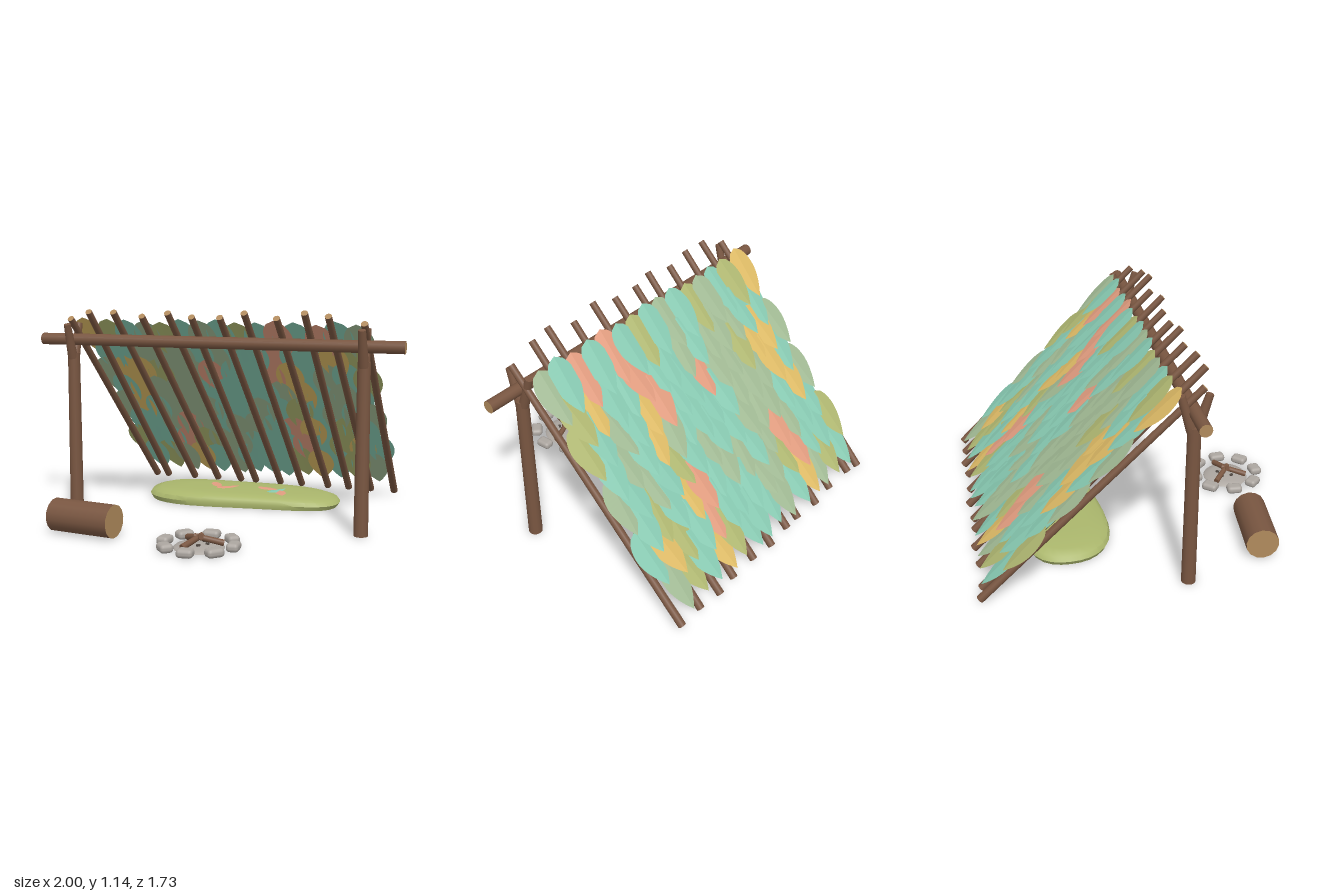
import * as THREE from 'three';
import { mergeVertices, toCreasedNormals } from 'three/addons/utils/BufferGeometryUtils.js';
import { RoundedBoxGeometry } from 'three/addons/geometries/RoundedBoxGeometry.js';

const V = (x, y, z) => new THREE.Vector3(x, y, z);

function paint(name, color, side = THREE.FrontSide) {
  const m = new THREE.MeshStandardMaterial({ color, side });
  m.name = name;
  return m;
}

export function createModel() {
  const model = new THREE.Group();
  model.name = 'leanToShelter';
  const bark = paint('bark', 0x795641);
  const cutWood = paint('cutWood', 0xb08a5c);
  const stone = paint('stone', 0xaca6a0);
  const charcoal = paint('charcoal', 0x544c46);
  const moss = paint('moss', 0xaab66c);
  const leafPaint = {
    t: paint('tealLeaf', 0x88cab2, THREE.DoubleSide),
    s: paint('sageLeaf', 0xa2bb95, THREE.DoubleSide),
    o: paint('oliveLeaf', 0xb0b872, THREE.DoubleSide),
    y: paint('yellowLeaf', 0xdebb66, THREE.DoubleSide),
    c: paint('coralLeaf', 0xe29d80, THREE.DoubleSide),
  };

  let seed = 7;
  const rand = (a) => {
    seed = (seed * 16807) % 2147483647;
    return (seed / 2147483647 * 2 - 1) * a;
  };

  function add(name, geometry, material, parent = model) {
    const mesh = new THREE.Mesh(geometry, material);
    mesh.name = name;
    parent.add(mesh);
    return mesh;
  }

  // Round timber from point a to point b, with its own colours on the two ends
  function timber(name, a, b, ra, rb, endA = bark, endB = bark, parent = model) {
    const dir = b.clone().sub(a);
    const mesh = add(name, new THREE.CylinderGeometry(rb, ra, dir.length(), 14), [bark, endB, endA], parent);
    mesh.position.copy(a).add(b).multiplyScalar(0.5);
    mesh.quaternion.setFromUnitVectors(V(0, 1, 0), dir.normalize());
  }

  // Forked posts and ridge beam
  for (const x of [-0.815, 0.797]) {
    const post = new THREE.Group();
    post.name = 'forkedPost';
    model.add(post);
    timber('postTrunk', V(x, 0, 0.18), V(x, 0.885, 0.18), 0.037, 0.033, bark, bark, post);
    for (const s of [-1, 1]) {
      timber('forkProng', V(x, 0.86, 0.18 + s * 0.012), V(x, 1.045, 0.18 + s * 0.068), 0.027, 0.019, bark, bark, post);
    }
  }
  timber('ridgeBeam', V(-1, 0.96, 0.18), V(1, 0.96, 0.18), 0.032, 0.032, cutWood, cutWood);

  // Sloping roof poles: foot x, top x, top height
  const poles = [
    [-0.775, -0.805, 1.075], [-0.69, -0.675, 1.115], [-0.505, -0.53, 1.115], [-0.35, -0.375, 1.095],
    [-0.19, -0.22, 1.115], [-0.09, -0.095, 1.095], [0.068, 0.06, 1.095], [0.21, 0.2, 1.12],
    [0.378, 0.363, 1.095], [0.505, 0.515, 1.125], [0.645, 0.632, 1.11], [0.787, 0.804, 1.075],
  ];
  poles.forEach(([x0, x1, top], i) => {
    const foot = i % 3 === 0 ? -0.855 : -0.842;
    timber('roofPole', V(x0, 0.015 + (foot + 0.855) * 0.2, foot), V(x1, top, 0.272 - (1.12 - top) * 1.02),
      0.021, 0.018, bark, cutWood);
  });

  // Leaf: rounded head, pointed tip, folded along the midrib
  function makeLeaf(width, length) {
    const g = new THREE.PlaneGeometry(1, 1, 2, 14);
    const p = g.attributes.position;
    for (let i = 0; i < p.count; i++) {
      const t = 0.5 - p.getY(i);
      const head = Math.sqrt(Math.max(0, 1 - Math.pow(1 - Math.min(t / 0.4, 1), 2)));
      const tail = t > 0.4 ? 1 - Math.pow((t - 0.4) / 0.6, 1.8) : 1;
      const side = p.getX(i) * head * tail;
      p.setXYZ(i, side * width, (0.5 - t) * length, -Math.abs(side) * width * 0.1);
    }
    return toCreasedNormals(g, 0.1);
  }

  // Leaf thatch: rows from the ridge down, upper rows lying over lower ones
  const rows = [
    'yotsotstotctcts', 'ttssststtcttyo', 'syyosscttcytsto', 'tysssttttsytst',
    'sytsssttstotsts', 'ttscstsstcytots'.replace(' ', '').slice(0, 14), 'ottcosstttctoyt', 'tosytstttoytos',
  ];
  const thatch = new THREE.Group();
  thatch.name = 'leafThatch';
  model.add(thatch);
  const slope = V(0, 1.07, 1).normalize();
  const outward = V(0, slope.z, -slope.y);
  const leafGeo = makeLeaf(0.158, 0.31);
  const frame = new THREE.Quaternion().setFromRotationMatrix(
    new THREE.Matrix4().makeBasis(V(-1, 0, 0), slope, outward));
  rows.forEach((row, r) => {
    [...row].forEach((key, c) => {
      const leaf = add('roofLeaf', leafGeo, leafPaint[key], thatch);
      leaf.position.set((c - (row.length - 1) / 2) * 0.108 - 0.014 + rand(0.01), 1.07, 0.112)
        .addScaledVector(slope, -0.155 - r * 0.153 + rand(0.014))
        .addScaledVector(outward, 0.003 + (c % 2) * 0.003);
      leaf.quaternion.copy(frame).multiply(
        new THREE.Quaternion().setFromEuler(new THREE.Euler(-0.035, rand(0.05), rand(0.12))));
    });
  });

  // Moss bed: lathed cushion pulled into a long, waisted outline
  const profile = [[0, 0], [0.97, 0], [1, 0.026], [0.97, 0.048], [0.88, 0.062], [0.6, 0.069], [0, 0.071]];
  let bedGeo = new THREE.LatheGeometry(profile.map(([x, y]) => new THREE.Vector2(x, y)), 40);
  const bp = bedGeo.attributes.position;
  for (let i = 0; i < bp.count; i++) {
    const a = Math.atan2(bp.getZ(i), bp.getX(i));
    const square = Math.pow(Math.abs(Math.cos(a)) ** 2.3 + Math.abs(Math.sin(a)) ** 2.3, -1 / 2.3);
    const x = bp.getX(i) * square, z = bp.getZ(i) * square;
    const waist = 0.85 + 0.28 * x * x - 0.1 * x;
    bp.setXYZ(i, x * 0.57 - 0.015, bp.getY(i) * (1 - 0.05 * x), z * 0.265 * waist - 0.38 - 0.02 * Math.sin(x * 3));
  }
  bedGeo.deleteAttribute('uv');
  bedGeo.deleteAttribute('normal');
  bedGeo = toCreasedNormals(mergeVertices(bedGeo, 1e-4), 0.7);
  add('mossBed', bedGeo, moss);

  // Fallen leaves on the bed
  const fallenGeo = makeLeaf(0.06, 0.14);
  [[-0.19, -0.4, 0.6, 'c'], [-0.11, -0.36, 2.2, 'c'], [0.13, -0.4, 1.3, 'c'], [0.19, -0.36, 2.6, 't'], [0.23, -0.31, 0.4, 'c']]
    .forEach(([x, z, turn, key], i) => {
      const leaf = add('fallenLeaf', fallenGeo, leafPaint[key]);
      leaf.position.set(x, 0.0735 + (i % 2) * 0.001, z);
      leaf.rotation.set(-Math.PI / 2, 0, turn);
    });

  // Log seat
  timber('logSeat', V(-0.712, 0.086, 0.602), V(-0.358, 0.086, 0.642), 0.086, 0.086, cutWood, cutWood);

  // Fire pit: ash mound, ring of stones, leaning sticks
  const pit = new THREE.Group();
  pit.name = 'firePit';
  pit.position.set(0.1, 0, 0.65);
  model.add(pit);
  const mound = [[0, 0], [0.128, 0], [0.118, 0.01], [0.085, 0.017], [0, 0.021]];
  add('ashMound', toCreasedNormals(
    new THREE.LatheGeometry(mound.map(([x, y]) => new THREE.Vector2(x, y)), 24), 0.6), stone, pit);
  const stoneGeo = new RoundedBoxGeometry(0.086, 0.044, 0.066, 2, 0.019);
  for (let i = 0; i < 8; i++) {
    const a = i * Math.PI / 4;
    const rock = add('ringStone', stoneGeo, stone, pit);
    rock.position.set(Math.sin(a) * 0.179, 0.022, Math.cos(a) * 0.179);
    rock.rotation.y = a + rand(0.12);
    rock.scale.set(1 + rand(0.06), 1, 1 + rand(0.06));
  }
  for (const [x, z] of [[-0.09, -0.08], [0.118, -0.035], [-0.045, 0.11]]) {
    timber('fireStick', V(x, 0.024, z), V(-x * 0.2, 0.058, -z * 0.2), 0.016, 0.014, bark, bark, pit);
  }
  for (let i = 0; i < 5; i++) {
    const chip = add('charredChip', new THREE.BoxGeometry(0.018, 0.012, 0.012), charcoal, pit);
    chip.position.set(Math.cos(i * 1.26) * 0.045, 0.022, Math.sin(i * 1.26) * 0.045);
    chip.rotation.y = i;
  }
  return model;
}
